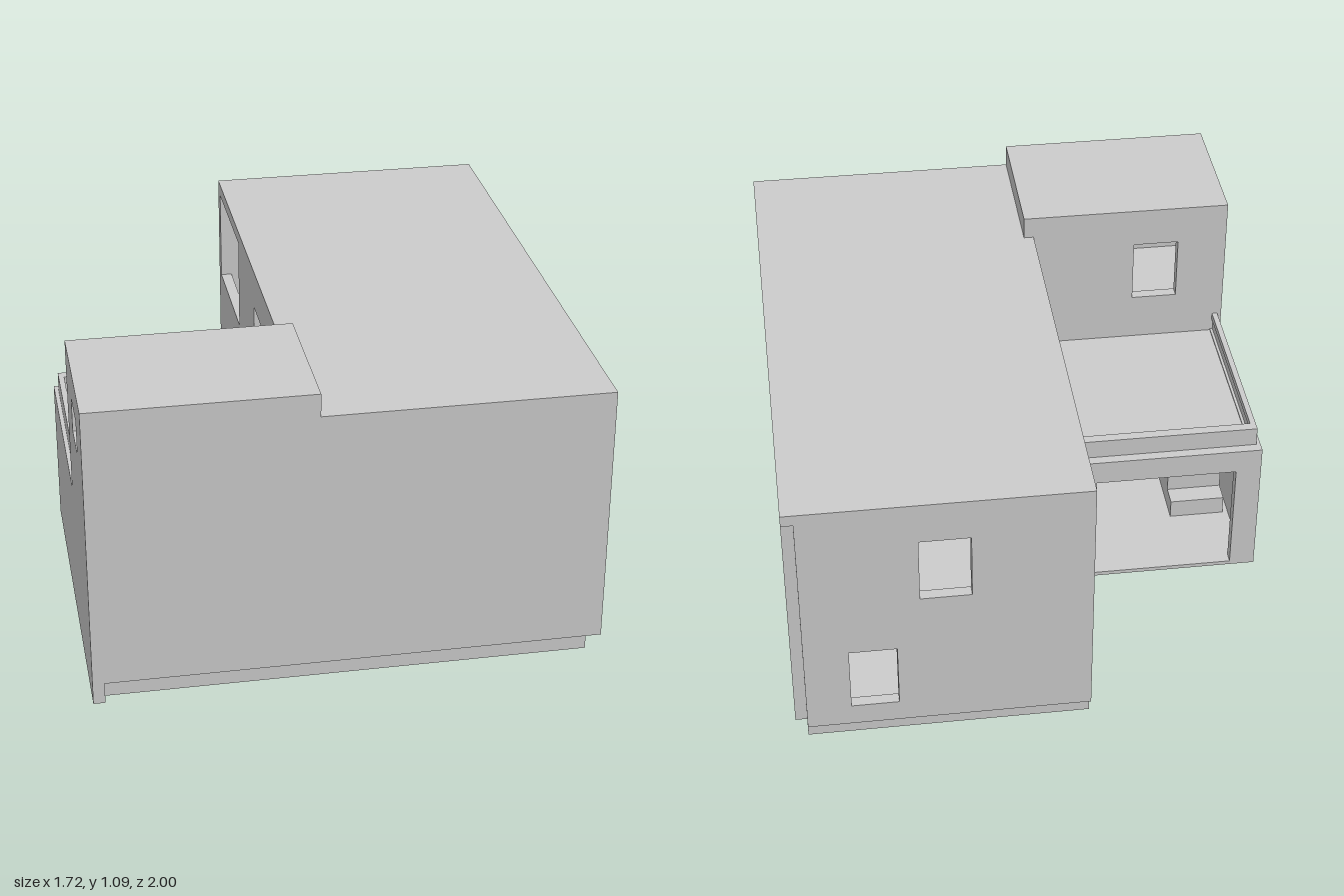
import * as THREE from 'three';

export function createModel() {
  const house = new THREE.Group();
  house.name = 'house';
  const mat = new THREE.MeshStandardMaterial({ color: 0xcccccc, flatShading: true });
  const T = 0.04; // wall thickness

  const add = (name, geo) => {
    const mesh = new THREE.Mesh(geo, mat);
    mesh.name = name;
    house.add(mesh);
  };

  // Box given by its limits on each axis
  const block = (name, x0, x1, y0, y1, z0, z1) => {
    const geo = new THREE.BoxGeometry(x1 - x0, y1 - y0, z1 - z0);
    geo.translate((x0 + x1) / 2, (y0 + y1) / 2, (z0 + z1) / 2);
    add(name, geo);
  };

  // Upright wall with rectangular openings [from, to, bottom, top].
  // axis 'x' runs along x with its low face at z = pos; axis 'z' runs along z with its low face at x = pos.
  const wall = (name, axis, from, to, y0, y1, pos, openings = []) => {
    const rect = (path, [a, b, c, d]) =>
      path.moveTo(a, c).lineTo(b, c).lineTo(b, d).lineTo(a, d).closePath();
    const shape = rect(new THREE.Shape(), [from, to, y0, y1]);
    shape.holes = openings.map((o) => rect(new THREE.Path(), o));
    const geo = new THREE.ExtrudeGeometry(shape, { depth: T, bevelEnabled: false });
    if (axis === 'x') geo.translate(0, 0, pos);
    else geo.rotateY(-Math.PI / 2).translate(pos + T, 0, 0);
    add(name, geo);
  };

  // Plinth, with an open bay on the left side
  block('plinthBack', -0.14, 0.82, 0.015, 0.09, -0.96, 0);
  block('plinthMiddle', -0.14, 0.33, 0.015, 0.09, 0, 0.48);
  block('plinthFront', -0.14, 0.82, 0.015, 0.09, 0.48, 0.96);
  block('plinthFrontRight', -0.82, -0.14, 0.015, 0.09, 0.92, 0.96);
  block('bayFloor', 0.33, 0.82, 0.08, 0.09, 0, 0.48);
  block('garageFloor', -0.82, -0.14, 0.015, 0.03, -0.28, 0.92);
  block('column', -0.27, -0.13, 0, 0.49, 0.11, 0.25);

  // Main wing walls
  wall('frontWall', 'x', -0.82, 0.86, 0.09, 0.97, 0.96);
  wall('leftWall', 'z', -0.96, 0.96, 0.09, 0.97, 0.82, [
    [0.64, 0.8, 0.33, 0.45],
    [0.64, 0.8, 0.77, 0.89],
  ]);
  wall('backWall', 'x', -0.14, 0.82, 0.09, 0.97, -1, [
    [0.51, 0.67, 0.17, 0.41],
    [0.26, 0.43, 0.62, 0.86],
  ]);
  wall('courtWall', 'z', -0.96, -0.28, 0.09, 0.97, -0.14, [
    [-0.8, -0.64, 0.25, 0.45],
    [-0.955, -0.49, 0.63, 0.965],
  ]);
  wall('terraceDoorWall', 'z', -0.28, 0.48, 0.49, 0.97, -0.14, [[-0.13, 0.115, 0.54, 0.87]]);
  block('upperFloor', -0.1, 0.82, 0.49, 0.53, -0.96, 0.96);
  block('mainRoof', -0.14, 0.86, 0.97, 1.01, -1, 1);

  // Garage under the terrace
  wall('garageBackWall', 'x', -0.82, -0.14, 0.015, 0.54, -0.28, [[-0.77, -0.267, 0.03, 0.45]]);
  wall('garageSideWall', 'z', -0.28, 0.48, 0.015, 0.54, -0.86);
  block('terraceFloor', -0.82, -0.14, 0.49, 0.535, -0.24, 0.48);
  for (let i = 0; i < 6; i++) {
    block('stairStep', -0.8, -0.6, 0.03, 0.1 + i * 0.07, i * 0.075, (i + 1) * 0.075);
  }

  // Low railing round the terrace: a kerb with a wider cap
  block('railKerbBack', -0.845, -0.14, 0.54, 0.585, -0.245, -0.23);
  block('railKerbSide', -0.845, -0.83, 0.54, 0.585, -0.23, 0.48);
  block('railCapBack', -0.845, -0.14, 0.585, 0.61, -0.245, -0.21);
  block('railCapSide', -0.845, -0.825, 0.585, 0.61, -0.21, 0.48);

  // Tower at the front right
  wall('towerSideWall', 'z', 0.48, 1, 0.015, 1.01, -0.86, [[0.66, 0.82, 0.85, 0.97]]);
  wall('towerBackWall', 'x', -0.82, -0.1, 0.53, 1.01, 0.48, [[-0.68, -0.515, 0.71, 0.945]]);
  block('towerFrontTop', -0.82, -0.14, 0.97, 1.01, 0.96, 1);
  block('towerFloor', -0.82, -0.1, 0.49, 0.61, 0.52, 0.96);
  block('towerRoof', -0.86, -0.105, 1.01, 1.09, 0.48, 1);

  return house;
}
